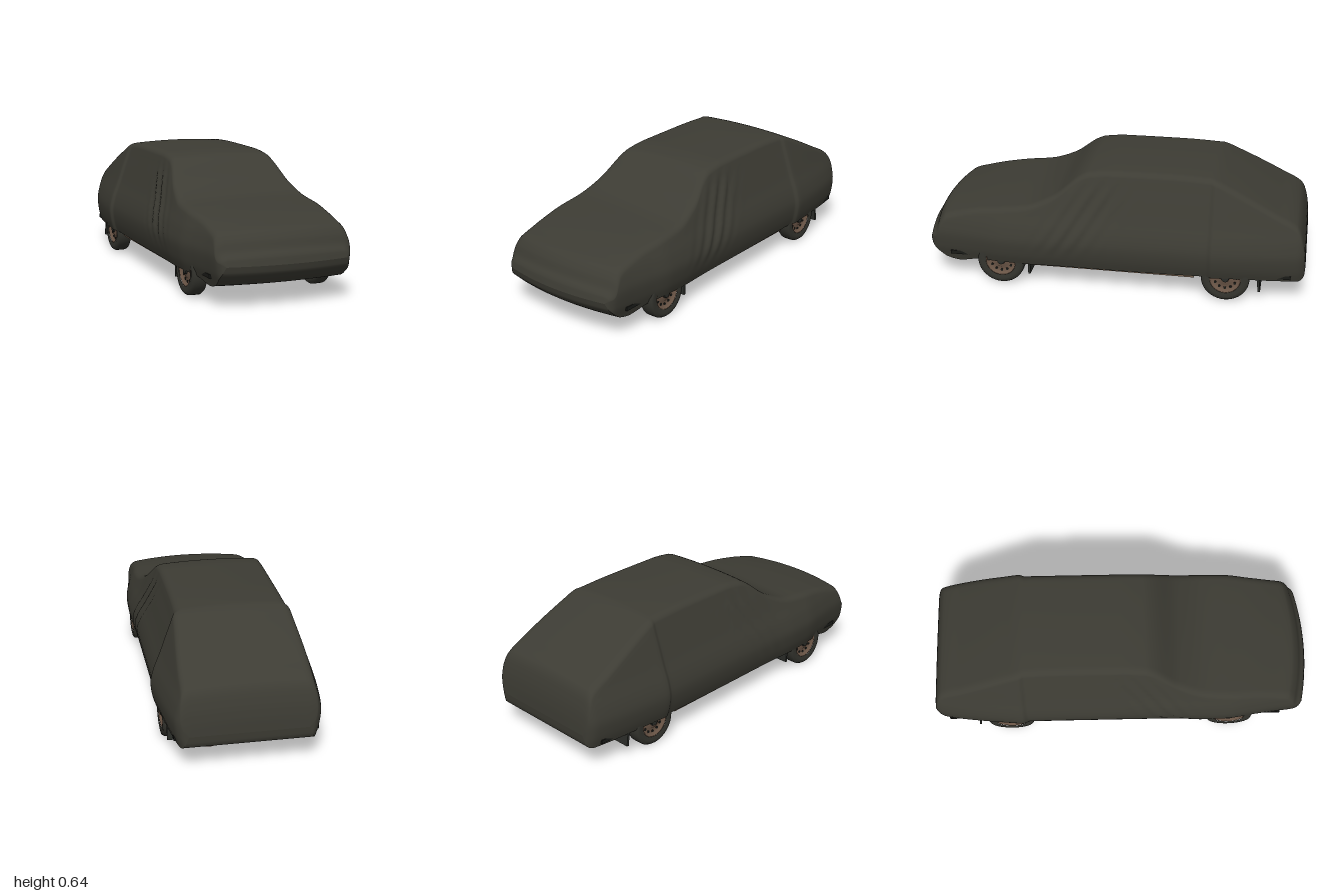
import * as THREE from 'three';

const mat = (name, color, side = THREE.FrontSide) => {
  const m = new THREE.MeshStandardMaterial({ color, side });
  m.name = name;
  return m;
};

// Smooth curve through [x, y] knots (x ascending) that never overshoots
function smoothCurve(knots) {
  const n = knots.length;
  const slope = (i) => (knots[i + 1][1] - knots[i][1]) / (knots[i + 1][0] - knots[i][0]);
  const tangent = (i) => {
    if (i === 0) return slope(0);
    if (i === n - 1) return slope(n - 2);
    const a = slope(i - 1), b = slope(i);
    return a * b <= 0 ? 0 : (2 * a * b) / (a + b);
  };
  return (x) => {
    let i = 0;
    while (i < n - 2 && x > knots[i + 1][0]) i++;
    const h = knots[i + 1][0] - knots[i][0];
    const t = THREE.MathUtils.clamp((x - knots[i][0]) / h, 0, 1);
    const t2 = t * t, t3 = t2 * t;
    return knots[i][1] * (2 * t3 - 3 * t2 + 1) + knots[i + 1][1] * (3 * t2 - 2 * t3)
      + h * (tangent(i) * (t3 - 2 * t2 + t) + tangent(i + 1) * (t3 - t2));
  };
}

// Stations along the body: z, top height, hem height, width factor
const stations = [
  [-1.0, 0.19, 0.19, 0.72], [-0.996, 0.26, 0.15, 0.78], [-0.985, 0.33, 0.128, 0.82],
  [-0.965, 0.395, 0.12, 0.855], [-0.945, 0.423, 0.122, 0.872], [-0.85, 0.475, 0.125, 0.915],
  [-0.6, 0.6, 0.13, 0.985], [-0.53, 0.63, 0.13, 1.0], [-0.5, 0.636, 0.13, 0.968],
  [-0.3, 0.643, 0.125, 0.965], [0, 0.641, 0.122, 0.965], [0.12, 0.628, 0.122, 0.965],
  [0.16, 0.612, 0.122, 0.965], [0.3, 0.505, 0.122, 0.97], [0.44, 0.447, 0.123, 0.985],
  [0.56, 0.43, 0.125, 0.98], [0.7, 0.41, 0.12, 0.93], [0.84, 0.382, 0.095, 0.89],
  [0.91, 0.363, 0.108, 0.875], [0.945, 0.325, 0.13, 0.865], [0.965, 0.28, 0.148, 0.855],
  [0.988, 0.25, 0.175, 0.82], [0.998, 0.21, 0.21, 0.77],
];
const column = (c) => smoothCurve(stations.map((s) => [s[0], s[c]]));
const topAt = column(1), hemAt = column(2), widthAt = column(3);
// Half width against height: bulging flanks leaning in to the roof
const flank = smoothCurve([[0.08, 0.365], [0.12, 0.378], [0.18, 0.397], [0.25, 0.405],
  [0.32, 0.391], [0.4, 0.36], [0.5, 0.325], [0.6, 0.29], [0.65, 0.277]]);

// Bow the nose in plan
const bow = (x, z) => z - 0.045 * (x / 0.35) ** 2 * THREE.MathUtils.smoothstep(z, 0.65, 0.96);

// Draped folds fanning down from the windscreen pillar
function fold(y, z) {
  const u = z + 0.65 * (y - 0.4);
  return 0.006 * Math.sin(u * 75) * Math.exp(-(((u - 0.14) / 0.13) ** 2))
    * THREE.MathUtils.smoothstep(y, 0.17, 0.32) * (1 - THREE.MathUtils.smoothstep(y, 0.5, 0.6));
}

// Half cross-section, from the hem up to the centre line
function halfSection(z) {
  const top = topAt(z), hem = hemAt(z), k = widthAt(z);
  const r = Math.min(0.036, (top - hem) / 3), pts = [];
  const shoulder = top - r, w = flank(shoulder) * k;
  for (let i = 0; i < 16; i++) {
    const y = THREE.MathUtils.lerp(hem, shoulder, i / 16);
    pts.push([flank(y) * k + fold(y, z), y]);
  }
  const crown = Math.min(0.01, r * 0.3);
  const bend = new THREE.QuadraticBezierCurve(new THREE.Vector2(w, shoulder),
    new THREE.Vector2(w - r * 0.3, top - crown), new THREE.Vector2(w - r * 1.3, top - crown * 0.85));
  bend.getPoints(6).forEach((p) => pts.push([p.x, p.y]));
  for (let i = 1; i <= 8; i++) {
    const t = i / 8;
    pts.push([(w - r * 1.3) * (1 - t), top - crown * 0.85 * (1 - t) ** 2]);
  }
  return pts;
}

// Grid surface from rows of [x, y, z] points
function sheet(rows) {
  const n = rows[0].length, index = [];
  for (let i = 0; i < rows.length - 1; i++) {
    for (let j = 0; j < n - 1; j++) {
      const a = i * n + j, b = a + 1, c = a + n, d = c + 1;
      index.push(a, c, b, b, c, d);
    }
  }
  const g = new THREE.BufferGeometry();
  g.setAttribute('position', new THREE.Float32BufferAttribute(rows.flat(2), 3));
  g.setIndex(index);
  g.computeVertexNormals();
  return g;
}

export function createModel() {
  const car = new THREE.Group();
  car.name = 'coveredCar';
  const cover = mat('cover cloth', 0x3d3c34, THREE.DoubleSide);
  const floor = mat('underbody black', 0x1a1b18);
  const frame = mat('chassis grey', 0x2b2d29);
  const rubber = mat('tyre rubber', 0x34342e);
  const rim = mat('rim brown', 0x6a5546);
  const rust = mat('rusty exhaust', 0x653e2d);
  const darkRust = mat('dark rust', 0x3a221b);
  const sillTan = mat('sill tan', 0x75614f);

  const add = (name, geometry, material, x = 0, y = 0, z = 0, parent = car) => {
    const m = new THREE.Mesh(geometry, material);
    m.name = name;
    m.position.set(x, y, z);
    parent.add(m);
    return m;
  };
  const box = (name, w, h, d, material, x, y, z) =>
    add(name, new THREE.BoxGeometry(w, h, d), material, x, y, z);
  const tube = (name, pts, r, material) => add(name, new THREE.TubeGeometry(
    new THREE.CatmullRomCurve3(pts.map((p) => new THREE.Vector3(...p)), false, 'catmullrom', 0.2),
    40, r, 8), material);

  // Cloth cover
  const zs = [];
  for (let i = 0; i < stations.length - 1; i++) {
    const a = stations[i][0], b = stations[i + 1][0], n = b - a > 0.09 ? 10 : 4;
    for (let j = 0; j < n; j++) zs.push(a + ((b - a) * j) / n);
  }
  zs.push(stations[stations.length - 1][0]);
  add('cover', sheet(zs.map((z) => {
    const half = halfSection(z);
    const left = half.map(([x, y]) => [x, y, bow(x, z)]);
    const right = half.slice(0, -1).reverse().map(([x, y]) => [-x, y, bow(x, z)]);
    return [...left, ...right];
  })), cover);

  // Cloth tucked under the nose and tail
  const tuck = (z) => {
    const w = flank(hemAt(z)) * widthAt(z), row = [];
    for (let i = 0; i <= 16; i++) {
      const x = w * (i / 8 - 1);
      row.push([x, hemAt(z), bow(x, z)]);
    }
    return row;
  };
  add('noseTuck', sheet(zs.filter((z) => z > 0.83).map(tuck)), cover);
  add('tailTuck', sheet(zs.filter((z) => z < -0.94).map(tuck)), cover);

  // Floor pan, tunnel and cross members
  box('floorPan', 0.7, 0.02, 1.78, floor, 0, 0.148, -0.04);
  box('tunnel', 0.1, 0.02, 1.0, frame, 0, 0.133, 0.05);
  for (const z of [-0.38, 0.0, 0.36]) box('crossMember', 0.62, 0.016, 0.035, frame, 0, 0.132, z);
  box('frontSubframe', 0.46, 0.03, 0.06, frame, 0, 0.118, 0.52);
  box('engineSump', 0.18, 0.04, 0.2, floor, -0.04, 0.12, 0.66);
  box('radiatorSupport', 0.5, 0.02, 0.05, frame, 0, 0.115, 0.8);
  for (const [x, z] of [[-0.27, -0.06], [-0.12, -0.42], [-0.24, -0.28]])
    box('rustPatch', 0.1, 0.008, 0.14, darkRust, x, 0.135, z);

  // Front and rear axles
  for (const z of [0.575, -0.6]) {
    const axle = add('axle', new THREE.CylinderGeometry(0.014, 0.014, 0.6, 12), frame, 0, 0.125, z);
    axle.rotation.z = Math.PI / 2;
  }
  const diff = add('differential', new THREE.SphereGeometry(0.042, 16, 10), frame, 0, 0.128, -0.6);
  diff.scale.z = 1.2;

  // Wheel parts
  const tyre = new THREE.LatheGeometry([[0.08, -0.036], [0.1, -0.04], [0.116, -0.037], [0.124, -0.026],
    [0.125, 0], [0.124, 0.026], [0.116, 0.037], [0.1, 0.04], [0.08, 0.036]]
    .map(([r, y]) => new THREE.Vector2(r, y)), 40);
  const dish = new THREE.LatheGeometry([[0.0, -0.03], [0.082, -0.03], [0.082, 0.034], [0.076, 0.036],
    [0.07, 0.022], [0.045, 0.018], [0.035, 0.028], [0, 0.03]]
    .map(([r, y]) => new THREE.Vector2(r, y)), 32);
  const slot = new THREE.CylinderGeometry(0.007, 0.007, 0.006, 10);

  for (const s of [1, -1]) {
    for (const z of [0.575, -0.6]) {
      const wheel = new THREE.Group();
      wheel.name = 'wheel';
      wheel.position.set(0.332 * s, 0.125, z);
      wheel.rotation.z = -s * Math.PI / 2;
      car.add(wheel);
      add('tyre', tyre, rubber, 0, 0, 0, wheel);
      add('rim', dish, rim, 0, 0, 0, wheel);
      add('hubCap', new THREE.CylinderGeometry(0.018, 0.022, 0.012, 16), frame, 0, 0.032, 0, wheel);
      for (let i = 0; i < 12; i++) {
        const a = (i / 12) * Math.PI * 2;
        add('rimHole', slot, floor, 0.058 * Math.cos(a), 0.02, 0.058 * Math.sin(a), wheel);
      }
    }
    // Mud flaps, sills, rails and suspension arms
    box('frontMudFlap', 0.12, 0.08, 0.012, frame, 0.3 * s, 0.1, 0.425);
    const flap = box('rearMudFlap', 0.12, 0.08, 0.012, frame, 0.3 * s, 0.1, -0.77);
    flap.rotation.x = 0.12;
    box('sill', 0.02, 0.025, 0.84, sillTan, 0.34 * s, 0.122, -0.02);
    box('floorRail', 0.035, 0.022, 0.75, frame, 0.2 * s, 0.13, 0.08);
    box('jackingRail', 0.05, 0.03, 0.19, frame, 0.24 * s, 0.11, 0.12);
    tube('trailingArm', [[0.22 * s, 0.13, -0.28], [0.23 * s, 0.12, -0.6]], 0.012, frame);
    tube('frontArm', [[0.16 * s, 0.12, 0.5], [0.28 * s, 0.115, 0.575], [0.17 * s, 0.12, 0.68]], 0.011, frame);
  }

  // Exhaust line with middle and rear silencers
  tube('exhaustPipe', [[0.13, 0.12, 0.66], [0.12, 0.11, 0.58], [0.03, 0.11, 0.34], [0.02, 0.108, 0.05],
    [-0.01, 0.11, -0.27], [0.16, 0.115, -0.47], [0.17, 0.12, -0.72], [0.18, 0.122, -0.96]], 0.011, rust);
  const silencer = (name, r, len, x, y, z) => {
    const m = add(name, new THREE.CylinderGeometry(r, r, len, 20), rust, x, y, z);
    m.rotation.x = Math.PI / 2;
    m.scale.x = 1.5;
  };
  silencer('middleSilencer', 0.024, 0.18, 0.02, 0.11, 0.09);
  silencer('rearSilencer', 0.03, 0.2, 0.18, 0.128, -0.84);

  return car;
}
